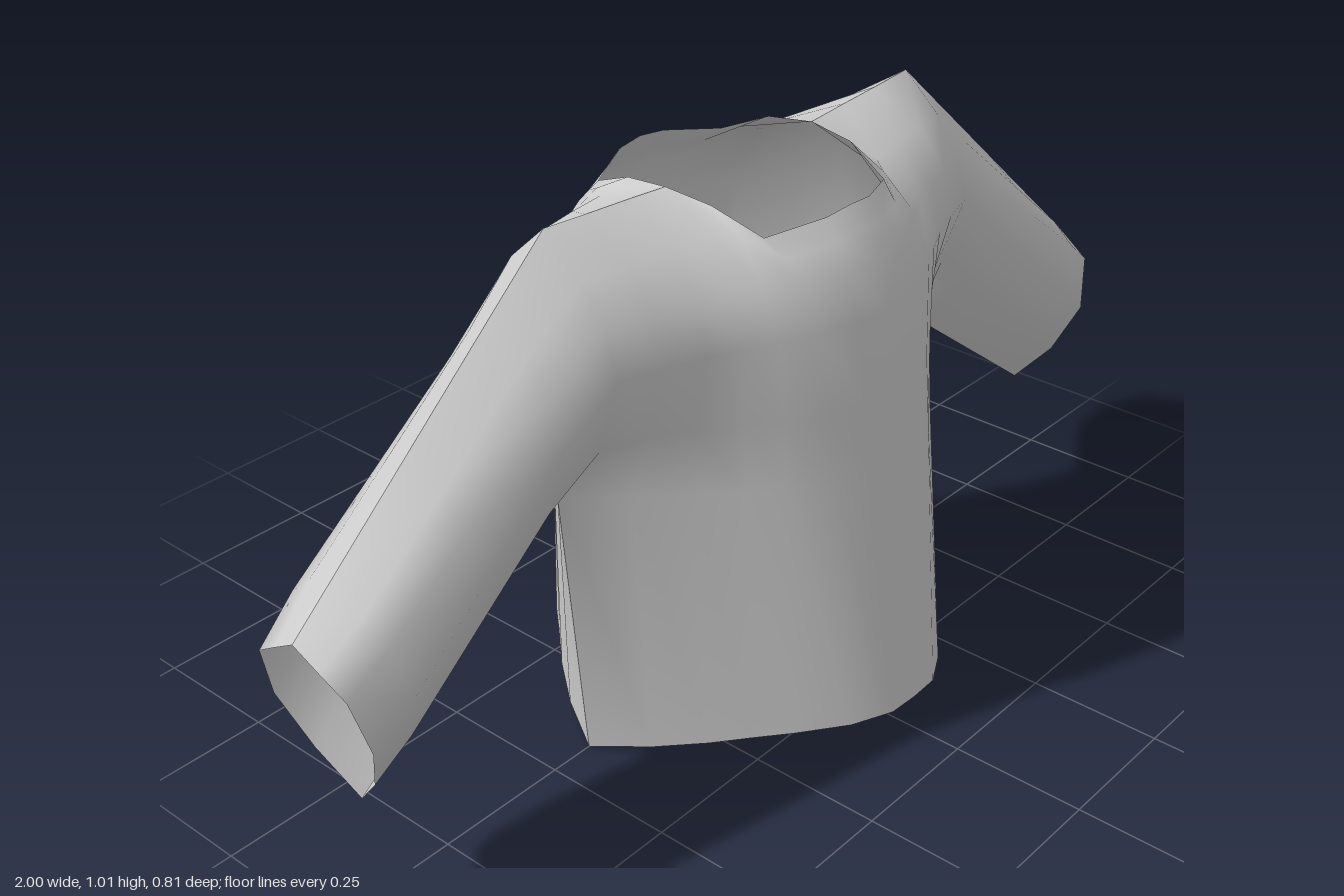
import * as THREE from 'three';
import { mergeVertices } from 'three/addons/utils/BufferGeometryUtils.js';

// Torso cross-sections, hem to shoulder; columns run from the centre to the side seam
const hemX = [0, 0.06, 0.13, 0.2, 0.25, 0.3, 0.36, 0.415];
const bodyX = [0, 0.065, 0.135, 0.2, 0.25, 0.31, 0.38, 0.46];
const yokeX = [0, 0.06, 0.145, 0.183, 0.21, 0.29, 0.375, 0.46];
const neckX = [0, 0.055, 0.157, 0.18, 0.188, 0.28, 0.37, 0.46];
const hemZ = [0.403, 0.4, 0.362, 0.292, 0.235, 0.18, 0.1, 0];
const level = (y) => Array(8).fill(y);
const sections = [
  { x: hemX, y: hemZ.map((z) => 0.167 * z), z: hemZ },
  { x: bodyX, y: level(0.535), z: [0.337, 0.333, 0.31, 0.267, 0.222, 0.163, 0.09, 0] },
  { x: bodyX, y: level(0.66), z: [0.327, 0.322, 0.3, 0.26, 0.22, 0.17, 0.13, 0.1] },
  { x: bodyX, y: level(0.8), z: [0.307, 0.302, 0.28, 0.25, 0.225, 0.195, 0.17, 0.145] },
  { x: bodyX, y: level(0.88), z: [0.286, 0.281, 0.252, 0.215, 0.192, 0.172, 0.15, 0.12] },
  { x: yokeX, y: [0.93, 0.925, 0.915, 0.945, 0.95, 0.953, 0.95, 0.945], z: [0.255, 0.25, 0.215, 0.16, 0.125, 0.11, 0.098, 0.075] },
  { x: neckX, y: [0.965, 0.96, 0.945, 0.983, 0.993, 1.0, 1.006, 1.013], z: [0.23, 0.226, 0.18, 0.09, 0, 0, 0, 0] },
];
const torso = sections.map((s) => s.x.map((x, i) => [x, s.y[i], s.z[i]]));

// Sleeve runs from the armhole to the cuff, underside first
const cuff = [
  [0.91, 0.2, 0], [0.935, 0.28, 0.07], [0.965, 0.38, 0.115],
  [0.99, 0.48, 0.1], [0.996, 0.512, 0.05], [1, 0.542, 0],
];
const sleeveDepth = [0, 0.08, 0.127, 0.112, 0.065, 0];
const sleeve = cuff.map((end, i) => {
  const start = torso[i + 1][7];
  const at = (t) => [
    THREE.MathUtils.lerp(start[0], end[0], t),
    THREE.MathUtils.lerp(start[1], end[1], t),
    sleeveDepth[i],
  ];
  return [start, at(0.2), at(0.55), at(0.85), end];
});

// One cloth panel: both halves of the torso and both sleeves, side is +1 front, -1 back
function panelGeometry(side) {
  const positions = [];
  const addGrid = (grid, mirror) => {
    const put = (p) => positions.push(p[0] * mirror, p[1], p[2] * side);
    const tri = (a, b, c) => (mirror * side > 0 ? [a, b, c] : [a, c, b]).forEach(put);
    for (let r = 0; r < grid.length - 1; r++) {
      for (let c = 0; c < grid[r].length - 1; c++) {
        const a = grid[r][c], b = grid[r][c + 1];
        const d = grid[r + 1][c + 1], e = grid[r + 1][c];
        tri(a, b, d);
        tri(a, d, e);
      }
    }
  };
  for (const mirror of [1, -1]) {
    addGrid(torso, mirror);
    addGrid(sleeve, mirror);
  }
  const geometry = new THREE.BufferGeometry();
  geometry.setAttribute('position', new THREE.Float32BufferAttribute(positions, 3));
  const welded = mergeVertices(geometry, 1e-4);
  welded.computeVertexNormals();
  return welded;
}

export function createModel() {
  const group = new THREE.Group();
  group.name = 'sweater';
  const cloth = new THREE.MeshStandardMaterial({ color: 0xcccccc, side: THREE.DoubleSide });
  cloth.name = 'light grey cloth';
  // Separate panels keep the seams crisp
  for (const [name, side] of [['frontPanel', 1], ['backPanel', -1]]) {
    const mesh = new THREE.Mesh(panelGeometry(side), cloth);
    mesh.name = name;
    group.add(mesh);
  }
  return group;
}
